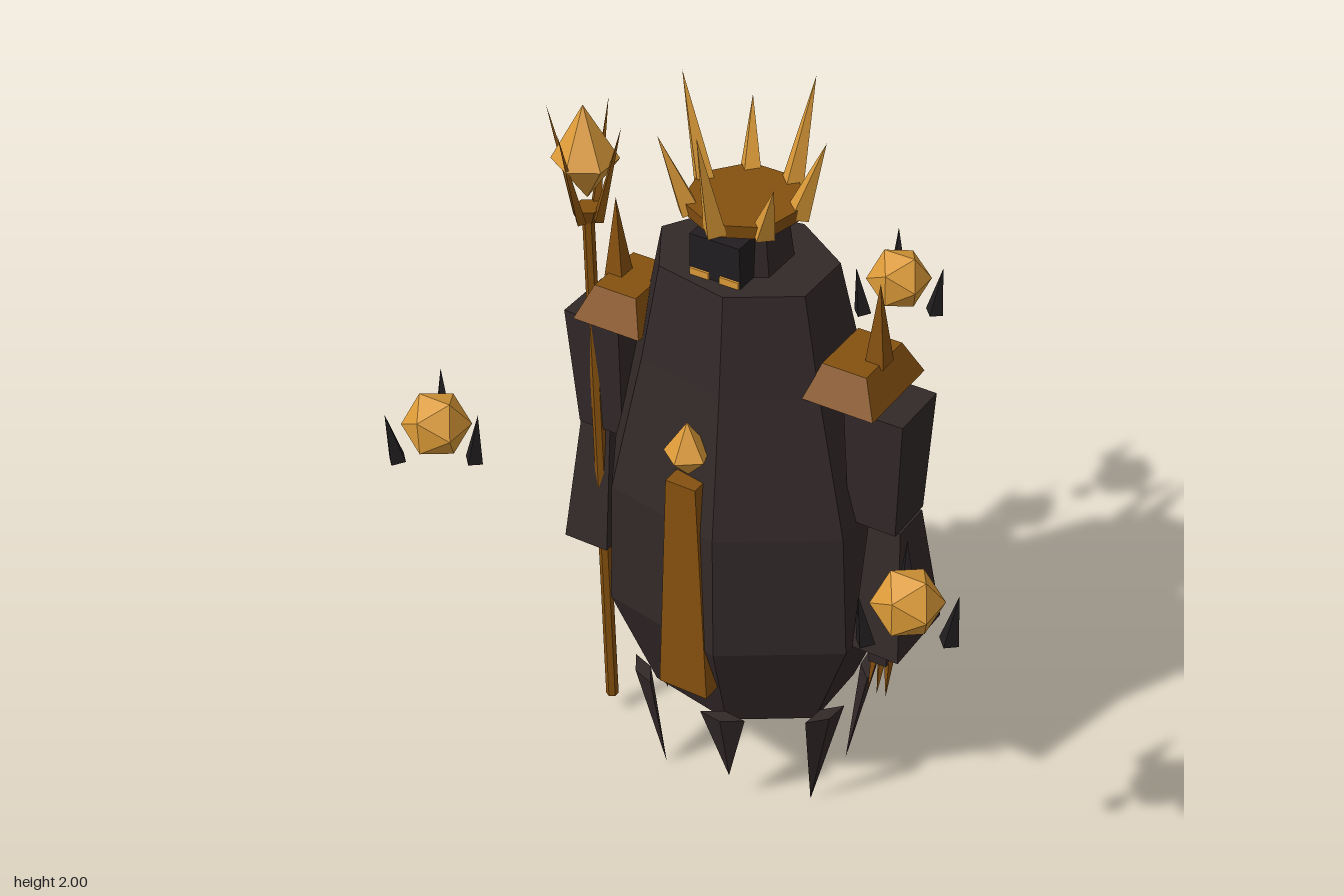
import * as THREE from 'three';

export function createModel() {
  const mat = (name, color) => {
    const m = new THREE.MeshStandardMaterial({ color, flatShading: true });
    m.name = name;
    return m;
  };
  const robe = mat('dark robe', 0x322828);
  const black = mat('black horn', 0x211d20);
  const bronze = mat('bronze', 0x85500f);
  const gold = mat('bright gold', 0xdb9a38);

  const model = new THREE.Group();
  model.name = 'floatingKing';
  const root = new THREE.Group();
  root.name = 'figure';
  root.position.set(-0.03, 0, 0.19);
  model.add(root);

  const add = (name, geo, material, parent = root) => {
    const mesh = new THREE.Mesh(geo, material);
    mesh.name = name;
    parent.add(mesh);
    return mesh;
  };
  const V = (x, y, z) => new THREE.Vector3(x, y, z);

  // Cone from a base point to a tip
  const spike = (name, base, tip, r, material, parent = root, sides = 4) => {
    const dir = tip.clone().sub(base);
    const geo = new THREE.ConeGeometry(r, dir.length(), sides);
    const mesh = add(name, geo, material, parent);
    mesh.position.copy(base).add(tip).multiplyScalar(0.5);
    mesh.quaternion.setFromUnitVectors(V(0, 1, 0), dir.normalize());
    return mesh;
  };

  // Tapered box; each end is [centre x, y, centre z, half width, half depth]
  const taper = (name, lo, hi, material, parent = root) => {
    const geo = new THREE.BoxGeometry(2, 2, 2);
    const p = geo.attributes.position;
    for (let i = 0; i < p.count; i++) {
      const e = p.getY(i) > 0 ? hi : lo;
      p.setXYZ(i, e[0] + p.getX(i) * e[3], e[1], e[2] + p.getZ(i) * e[4]);
    }
    geo.computeVertexNormals();
    return add(name, geo, material, parent);
  };

  // Pointed gem; widest at its origin
  const gem = (name, r, up, down, sides, parent = root) => {
    const pts = [[0, -down], [r, 0], [0, up]].map(q => new THREE.Vector2(...q));
    return add(name, new THREE.LatheGeometry(pts, sides), gold, parent);
  };

  // Robe body: seven-sided, flattened front to back
  const profile = [[0, 0.165], [0.285, 0.3], [0.41, 0.6], [0.393, 0.95],
    [0.295, 1.32], [0.237, 1.58], [0, 1.58]].map(q => new THREE.Vector2(...q));
  add('robe', new THREE.LatheGeometry(profile, 7, -Math.PI / 2), robe).scale.z = 0.8;

  // Hanging shards around the hem
  for (let i = 0; i < 7; i++) {
    const a = -Math.PI / 2 + i * Math.PI * 2 / 7;
    const tipY = [0.09, 0, 0.09, 0, 0, 0.09, 0][i];
    const ring = (r, y) => V(Math.sin(a) * r, y, Math.cos(a) * r * 0.8);
    const geo = new THREE.ConeGeometry(0.06, 0.34 - tipY, 4);
    geo.rotateX(Math.PI);
    geo.scale(1, 1, 0.35);
    geo.rotateY(a);
    // lean each tip inward
    const p = geo.attributes.position;
    const top = ring(0.325, 0.34), tip = ring(0.265, tipY);
    for (let j = 0; j < p.count; j++) {
      const t = p.getY(j) / (0.34 - tipY) + 0.5;
      const c = tip.clone().lerp(top, t);
      p.setXYZ(j, p.getX(j) + c.x, c.y, p.getZ(j) + c.z);
    }
    geo.computeVertexNormals();
    add('hemShard', geo, robe);
  }

  // Head, face and eyes
  add('head', new THREE.CylinderGeometry(0.1, 0.117, 0.14, 6), robe).position.y = 1.645;
  taper('face', [0, 1.57, 0.09, 0.07, 0.045], [0, 1.69, 0.09, 0.068, 0.045], black);
  for (const s of [-1, 1]) {
    const eye = add('eye', new THREE.BoxGeometry(0.052, 0.018, 0.008), gold);
    eye.position.set(s * 0.041, 1.59, 0.137);
  }

  // Crown
  const crown = new THREE.Group();
  crown.name = 'crown';
  root.add(crown);
  add('crownBand', new THREE.CylinderGeometry(0.15, 0.145, 0.035, 7), bronze, crown).position.y = 1.725;
  [2, 1.87, 1.92, 2, 1.9, 2, 1.92].forEach((y, i) => {
    const a = i * Math.PI * 2 / 7;
    spike('crownSpike', V(Math.sin(a) * 0.13, 1.715, Math.cos(a) * 0.13),
      V(Math.sin(a) * 0.2, y, Math.cos(a) * 0.2), 0.032, gold, crown);
  });

  // Chest gem and front panel
  gem('chestGem', 0.06, 0.09, 0.065, 5).position.set(0, 1.165, 0.27);
  taper('frontPanel', [0, 0.45, 0.295, 0.07, 0.027], [0, 1.09, 0.28, 0.042, 0.027], bronze);

  // Shoulders, arms and clawed hands
  for (const s of [-1, 1]) {
    const arm = new THREE.Group();
    arm.name = s > 0 ? 'leftArm' : 'rightArm';
    root.add(arm);
    taper('shoulderPlate', [s * 0.327, 1.32, 0, 0.096, 0.125], [s * 0.322, 1.41, 0, 0.06, 0.085], bronze, arm);
    spike('shoulderSpike', V(s * 0.368, 1.4, 0), V(s * 0.368, 1.62, 0), 0.036, bronze, arm)
      .rotateY(Math.PI / 4);
    taper('upperArm', [s * 0.395, 0.96, 0, 0.065, 0.07], [s * 0.4, 1.3, 0, 0.08, 0.083], robe, arm);
    taper('sleeve', [s * 0.433, 0.6, 0, 0.065, 0.11], [s * 0.422, 0.96, 0, 0.044, 0.055], robe, arm);
    taper('hand', [s * 0.405, 0.51, 0.01, 0.025, 0.035], [s * 0.41, 0.62, 0.01, 0.03, 0.045], robe, arm);
    for (const k of [-1, 0, 1]) {
      spike('claw', V(s * (0.405 + k * 0.02), 0.52, 0.02),
        V(s * (0.405 + k * 0.026), 0.41, 0.045), 0.013, bronze, arm);
    }
  }

  // Staff with a caged crystal
  const staff = new THREE.Group();
  staff.name = 'staff';
  staff.position.set(-0.403, 0, 0.068);
  root.add(staff);
  add('staffPole', new THREE.CylinderGeometry(0.015, 0.017, 1.55, 6), bronze, staff).position.y = 0.835;
  add('staffCollar', new THREE.CylinderGeometry(0.035, 0.018, 0.04, 6), bronze, staff).position.y = 1.6;
  gem('staffCrystal', 0.083, 0.145, 0.11, 6, staff).position.y = 1.755;
  for (let i = 0; i < 4; i++) {
    const a = i * Math.PI / 2;
    spike('staffProng', V(Math.sin(a) * 0.03, 1.59, Math.cos(a) * 0.03),
      V(Math.sin(a) * 0.107, 1.87, Math.cos(a) * 0.107), 0.015, bronze, staff);
  }

  // Three floating orbs, each held by three horns
  for (const [x, z] of [[-0.005, -0.773], [-0.668, 0.385], [0.668, 0.385]]) {
    const orb = new THREE.Group();
    orb.name = 'floatingOrb';
    orb.position.set(x, 1.07, z);
    root.add(orb);
    add('orbCore', new THREE.IcosahedronGeometry(0.088, 0), gold, orb);
    for (let i = 0; i < 3; i++) {
      const a = i * Math.PI * 2 / 3;
      spike('orbHorn', V(Math.cos(a) * 0.11, -0.07, Math.sin(a) * 0.11),
        V(Math.cos(a) * 0.132, 0.075, Math.sin(a) * 0.132), 0.026, black, orb);
    }
  }
  return model;
}
